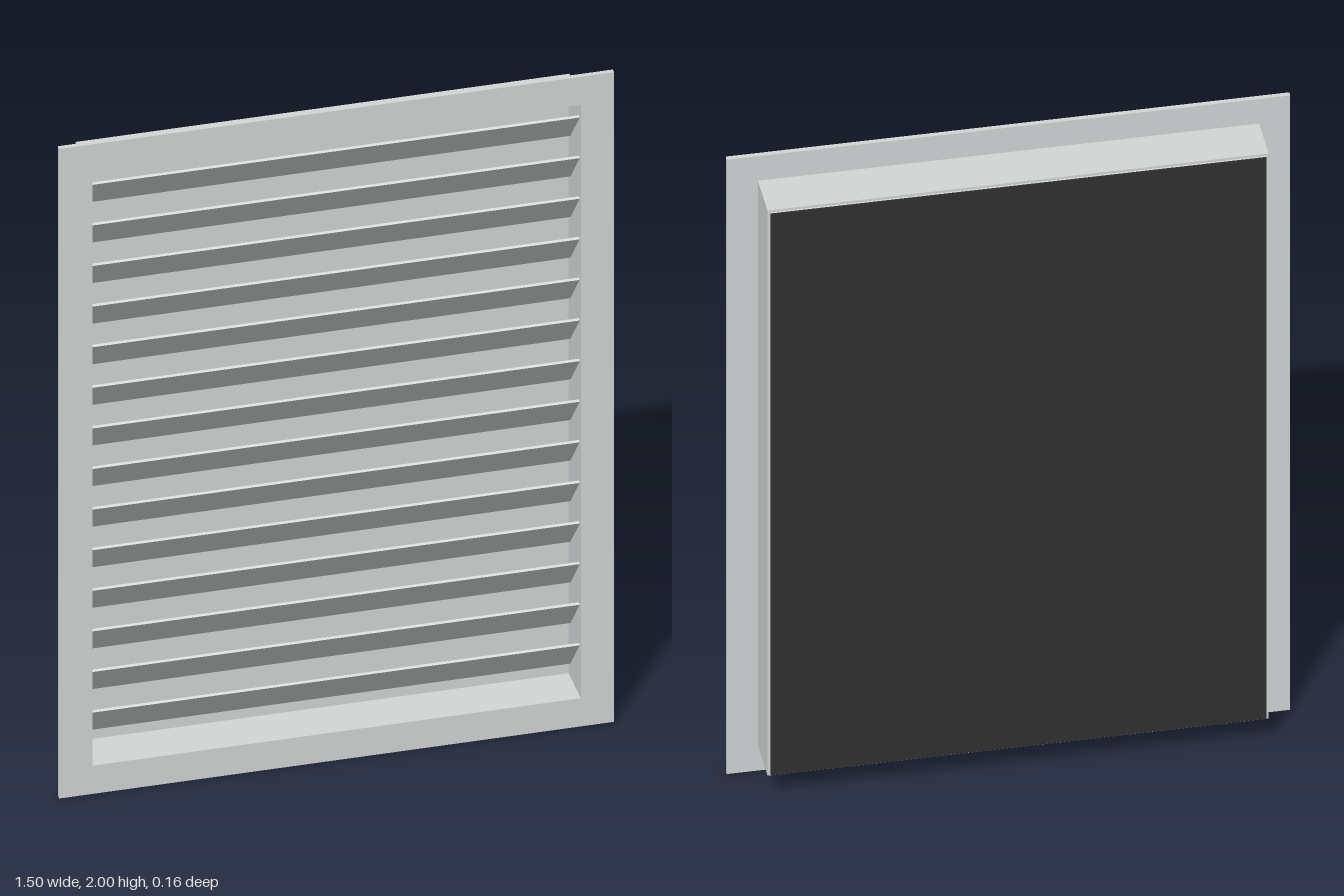
import * as THREE from 'three';

const grey = new THREE.MeshStandardMaterial({ color: 0xd3d6d6 });
grey.name = 'light grey';
const black = new THREE.MeshStandardMaterial({ color: 0x303030 });
black.name = 'backing black';

const INNER_W = 1.32, INNER_H = 1.826;

// Rectangular ring with the shared opening, from z0 to z1
function ring(name, w, h, z0, z1) {
  const rect = (target, rw, rh) => {
    target.moveTo(-rw / 2, -rh / 2);
    target.lineTo(rw / 2, -rh / 2);
    target.lineTo(rw / 2, rh / 2);
    target.lineTo(-rw / 2, rh / 2);
    target.closePath();
    return target;
  };
  const shape = rect(new THREE.Shape(), w, h);
  shape.holes.push(rect(new THREE.Path(), INNER_W, INNER_H));
  const geometry = new THREE.ExtrudeGeometry(shape, { depth: z1 - z0, bevelEnabled: false });
  const mesh = new THREE.Mesh(geometry, grey);
  mesh.name = name;
  mesh.position.set(0, 1, z0);
  return mesh;
}

function plate(name, w, h, z0, z1, material) {
  const mesh = new THREE.Mesh(new THREE.BoxGeometry(w, h, z1 - z0), material);
  mesh.name = name;
  mesh.position.set(0, 1, (z0 + z1) / 2);
  return mesh;
}

export function createModel() {
  const model = new THREE.Group();
  model.name = 'louvreVent';

  // Wall flange and the sleeve behind it
  model.add(ring('flange', 1.5, 2, 0.064, 0.078));
  model.add(ring('sleeve', 1.334, 1.84, -0.069, 0.064));

  // Closed back with a thin dark sheet outside
  model.add(plate('backPlate', INNER_W, INNER_H, -0.074, -0.05, grey));
  model.add(plate('backSheet', INNER_W, INNER_H, -0.078, -0.074, black));

  // Slats, sloping down towards the back
  const slats = new THREE.Group();
  slats.name = 'slats';
  const slatGeometry = new THREE.BoxGeometry(INNER_W, 0.007, 0.148);
  for (let i = 0; i < 14; i++) {
    const slat = new THREE.Mesh(slatGeometry, grey);
    slat.name = 'slat';
    slat.position.set(0, 1 + (i - 6.5) * 0.125, 0.015);
    slat.rotation.x = THREE.MathUtils.degToRad(-50);
    slats.add(slat);
  }
  model.add(slats);
  return model;
}
